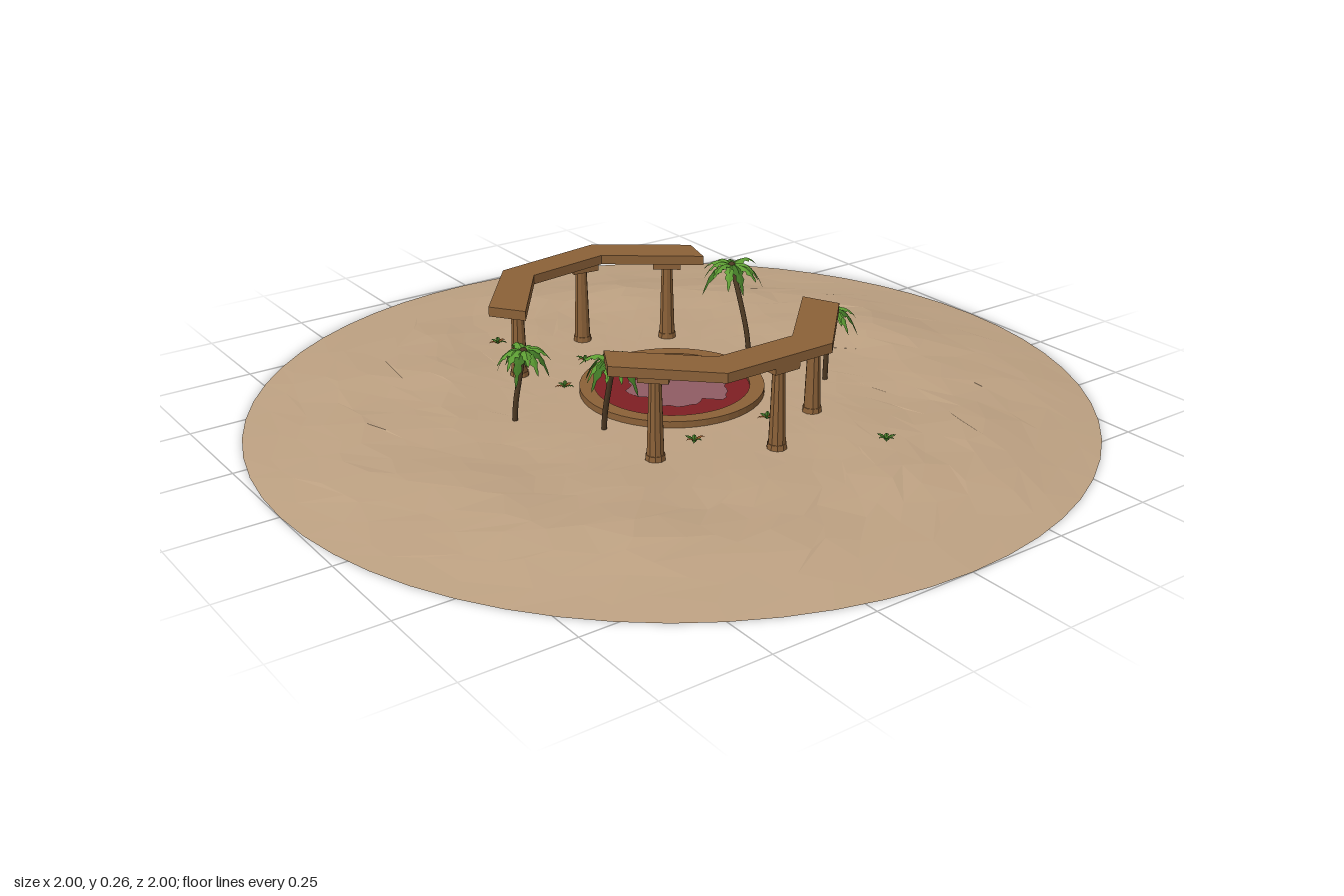
import * as THREE from 'three';

const mat = (name, color, extra = {}) => {
  const m = new THREE.MeshStandardMaterial({ color, ...extra });
  m.name = name;
  return m;
};

export function createModel() {
  const root = new THREE.Group();
  const D = { side: THREE.DoubleSide };
  const sand = mat('sand', 0xbda182, { ...D, flatShading: true });
  const wood = mat('wood', 0x8b6138, { flatShading: true });
  const red = mat('redWater', 0x7e1f23, D);
  const pink = mat('palePool', 0x8f5c63, D);
  const bark = mat('bark', 0x4a3722);
  const leaf = mat('leaf', 0x5c9c33, { ...D, flatShading: true });
  const darkLeaf = mat('darkLeaf', 0x3f7424, { ...D, flatShading: true });
  const dry = mat('dryLeaf', 0xa0602e, { ...D, flatShading: true });
  const black = mat('poolUnderside', 0x080808);

  const add = (parent, name, geo, material, x = 0, y = 0, z = 0) => {
    const mesh = new THREE.Mesh(geo, material);
    mesh.name = name;
    mesh.position.set(x, y, z);
    parent.add(mesh);
    return mesh;
  };
  const group = (name, x = 0, y = 0, z = 0) => {
    const g = new THREE.Group();
    g.name = name;
    g.position.set(x, y, z);
    root.add(g);
    return g;
  };
  const fromIndex = (pos, idx) => {
    const g = new THREE.BufferGeometry();
    g.setAttribute('position', new THREE.Float32BufferAttribute(pos, 3));
    g.setIndex(idx);
    g.computeVertexNormals();
    return g;
  };

  // Sand: rolling dunes outside, nearly level in the middle, falling to the rim
  const groundY = (x, z) => {
    const r = Math.hypot(x, z);
    const edge = Math.min(1, (1 - r) / 0.3);
    const roll = THREE.MathUtils.smoothstep(r, 0.3, 0.6);
    const n = Math.sin(6.1 * x + 2.3 * z + 1) * Math.sin(7.3 * z - 2 * x) * 0.009
      + Math.sin(17 * x - 5 * z) * Math.sin(13 * z + 4 * x + 2) * 0.005;
    return Math.max(0, edge) * (0.033 + roll * (0.003 + n));
  };
  const rings = 15, segs = 60, pos = [], idx = [];
  for (let i = 0; i <= rings; i++) {
    for (let j = 0; j < segs; j++) {
      const inner = i > 0 && i < rings;
      const r = i / rings + (inner ? 0.018 * Math.sin(j * 2.4 + i * 1.7) : 0);
      const a = (j + (inner ? 0.4 * Math.sin(i * 3.1 + j * 1.3) : 0)) / segs * Math.PI * 2;
      const x = r * Math.cos(a), z = r * Math.sin(a);
      pos.push(x, groundY(x, z), z);
      if (i < rings) {
        const p = i * segs + j, q = i * segs + (j + 1) % segs;
        idx.push(p, q + segs, p + segs);
        if (i > 0) idx.push(p, q, q + segs);
      }
    }
  }
  add(root, 'sandGround', fromIndex(pos, idx), sand);

  // Round pool with wooden rim, red water and a paler ragged centre
  const pool = group('pool');
  const rim = [[0.185, 0.02], [0.22, 0.02], [0.22, 0.049], [0.185, 0.049], [0.185, 0.02]];
  add(pool, 'poolRim', new THREE.LatheGeometry(rim.map(p => new THREE.Vector2(...p)), 48), wood);
  const disc = (name, shape, m, y) =>
    add(pool, name, shape.rotateX(-Math.PI / 2), m, 0, y, 0);
  disc('water', new THREE.CircleGeometry(0.188, 48), red, 0.042);
  const blob = [];
  for (let i = 0; i < 48; i++) {
    const a = i / 48 * Math.PI * 2;
    const r = 0.116 + 0.011 * Math.sin(5 * a + 0.6) + 0.008 * Math.sin(9 * a) + 0.006 * Math.sin(14 * a + 1);
    blob.push(new THREE.Vector2(0.01 + r * Math.cos(a), -0.013 + r * Math.sin(a)));
  }
  disc('waterCentre', new THREE.ShapeGeometry(new THREE.Shape(blob)), pink, 0.0445);
  add(pool, 'poolBottom', new THREE.CylinderGeometry(0.221, 0.221, 0.004, 48), black, 0, 0.019, 0);

  // Side basin and its channel
  add(pool, 'basin', new THREE.BoxGeometry(0.065, 0.028, 0.082), wood, 0.238, 0.034, 0);
  add(pool, 'basinWater', new THREE.BoxGeometry(0.04, 0.003, 0.052), red, 0.238, 0.0495, 0);
  add(pool, 'channelWater', new THREE.BoxGeometry(0.05, 0.003, 0.03), red, 0.202, 0.0495, 0);

  // Two angular canopies on three columns each
  const canopies = {
    frontCanopy: {
      outline: [[-0.348, 0.25], [-0.165, 0.428], [0.123, 0.428], [0.297, 0.25],
        [0.257, 0.166], [0.08, 0.342], [-0.128, 0.342], [-0.305, 0.171]],
      columns: [[-0.25, 0.285, 0.78], [0, 0.395, 0], [0.19, 0.29, -0.78]],
    },
    backCanopy: {
      outline: [[-0.374, -0.203], [-0.219, -0.4], [0.064, -0.438], [0.267, -0.289],
        [0.24, -0.198], [0.037, -0.353], [-0.176, -0.326], [-0.32, -0.128]],
      columns: [[-0.25, -0.285, -0.9], [0, -0.39, 0.13], [0.19, -0.285, 0.64]],
    },
  };
  for (const [name, { outline, columns }] of Object.entries(canopies)) {
    const g = group(name);
    const shape = new THREE.Shape(outline.map(p => new THREE.Vector2(...p)));
    const slab = new THREE.ExtrudeGeometry(shape, { depth: 0.023, bevelEnabled: false });
    add(g, 'roofBeam', slab.rotateX(Math.PI / 2), wood, 0, 0.263, 0);
    for (const [x, z, turn] of columns) {
      add(g, 'column', new THREE.CylinderGeometry(0.014, 0.021, 0.21, 10), wood, x, 0.125, z);
      add(g, 'columnBase', new THREE.CylinderGeometry(0.022, 0.024, 0.02, 10), wood, x, 0.036, z);
      add(g, 'capital', new THREE.BoxGeometry(0.068, 0.016, 0.062), wood, x, 0.232, z).rotation.y = -turn;
    }
  }

  // Arching frond: folded cross-sections with a notched edge
  const frond = (len, width, lift, droop) => {
    const n = 10, p = [], f = [];
    for (let i = 0; i <= n; i++) {
      const t = i / n;
      const w = width * Math.sin(Math.PI * Math.min(1, 0.12 + t * 0.88)) * (i % 2 ? 1 : 0.6);
      const x = len * t * (1 - 0.12 * t), y = lift * t - droop * t * t;
      p.push(x, y - w * 0.45, -w, x, y, 0, x, y - w * 0.45, w);
      if (i < n) {
        for (const k of [i * 3, i * 3 + 1]) f.push(k, k + 1, k + 4, k, k + 4, k + 3);
      }
    }
    return fromIndex(p, f);
  };

  // Palms: base x, base z, crown x, crown z, crown height, frond length
  const palms = [
    [-0.395, -0.066, -0.358, -0.08, 0.188, 0.072],
    [-0.255, 0.09, -0.25, 0.128, 0.212, 0.088],
    [0.31, -0.098, 0.325, -0.192, 0.222, 0.094],
    [0.335, 0.166, 0.352, 0.153, 0.2, 0.08],
  ];
  palms.forEach(([bx, bz, cx, cz, h, len], k) => {
    const g = group('palm');
    const curve = new THREE.CatmullRomCurve3([
      new THREE.Vector3(bx, 0.02, bz),
      new THREE.Vector3(bx * 0.85 + cx * 0.15, 0.075, bz * 0.85 + cz * 0.15),
      new THREE.Vector3(bx * 0.4 + cx * 0.6, h * 0.72, bz * 0.4 + cz * 0.6),
      new THREE.Vector3(cx, h, cz)]);
    add(g, 'trunk', new THREE.TubeGeometry(curve, 12, 0.0065, 7), bark);
    add(g, 'crownHeart', new THREE.SphereGeometry(0.011, 8, 6), bark, cx, h, cz);
    for (let i = 0; i < 13; i++) {
      const long = 1 - 0.16 * (i % 3 === 1);
      const geo = frond(len * long, 0.015, 0.05 + 0.012 * (i % 2), 0.075 + 0.02 * (i % 3));
      add(g, 'frond', geo, i % 3 === 2 ? darkLeaf : leaf, cx, h, cz)
        .rotation.y = i / 13 * Math.PI * 2 + k;
    }
  });

  // Small desert plants
  const plants = [[-0.187, -0.497], [-0.07, -0.27], [-0.2, -0.16], [-0.128, 0.262], [0.08, 0.262], [0.22, 0.51]];
  plants.forEach(([x, z], k) => {
    const g = group('desertPlant', x, groundY(x, z), z);
    for (let i = 0; i < 6; i++) {
      const geo = frond(0.022 + 0.007 * (i % 2), 0.006, 0.03, 0.024);
      add(g, 'plantLeaf', geo, (i + k) % 3 === 0 && k < 5 ? dry : darkLeaf).rotation.y = i * 1.05 + k;
    }
  });

  return root;
}
